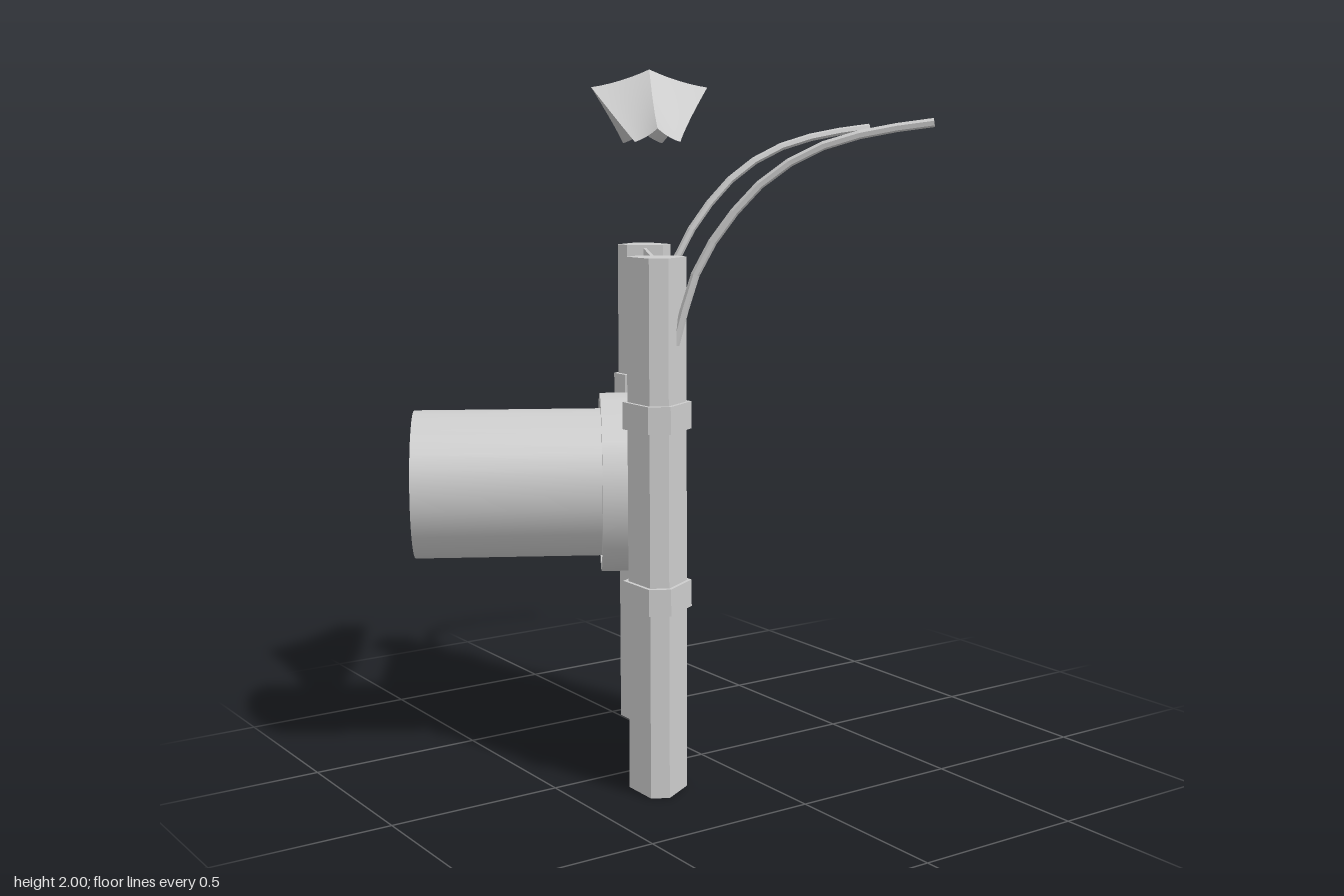
import * as THREE from 'three';

const grey = new THREE.MeshStandardMaterial({ color: 0xcccccc, side: THREE.DoubleSide });
const flat = new THREE.MeshStandardMaterial({ color: 0xcccccc, flatShading: true });
const CX = -0.09, CZ = -0.13;      // middle of the panel
const ANGLE = Math.PI / 3;         // heading of the panel
const PIPE_Y = 0.815;

function add(parent, name, geometry, material = grey) {
  const mesh = new THREE.Mesh(geometry, material);
  mesh.name = name;
  parent.add(mesh);
  return mesh;
}

// Triangular prism with cut corners, pointing to +x and standing at y0
function cutTrianglePrism(scale, y0, height) {
  const shortSide = 0.052, longSide = 0.11;
  const pts = [];
  const apothem = (2 * longSide + shortSide) / (2 * Math.sqrt(3));
  for (let i = 0; i < 3; i++) {
    for (const s of [-1, 1]) {
      pts.push(new THREE.Vector2(apothem, s * shortSide / 2)
        .multiplyScalar(scale)
        .rotateAround(new THREE.Vector2(), i * Math.PI * 2 / 3));
    }
  }
  const g = new THREE.ExtrudeGeometry(new THREE.Shape(pts), { depth: height, bevelEnabled: false });
  g.rotateX(-Math.PI / 2);
  g.translate(0, y0, 0);
  return g;
}

// Post with two clamp bands
function makePost(name, x, z, turn) {
  const post = new THREE.Group();
  post.name = name;
  add(post, 'postShaft', cutTrianglePrism(1, 0, 1.49), flat);
  for (const y of [0.52, 1.02]) add(post, 'clampBand', cutTrianglePrism(1.17, y, 0.075), flat);
  post.position.set(x, 0, z);
  post.rotation.y = turn;
  return post;
}

// Open cylinder wall along z, from z0 to z1
function wall(radius, z0, z1, sides) {
  const g = new THREE.CylinderGeometry(radius, radius, z1 - z0, sides, 1, true);
  g.rotateX(Math.PI / 2);
  g.translate(0, PIPE_Y, (z0 + z1) / 2);
  return g;
}

// Arched rod rising steeply and levelling out towards its tip
function makeRod(x0, z0, x1, z1) {
  const profile = [[0, 1.255], [0.09, 1.46], [0.23, 1.608], [0.375, 1.708], [0.55, 1.778], [0.755, 1.82], [1, 1.845]];
  const path = new THREE.CatmullRomCurve3(profile.map(([t, y]) =>
    new THREE.Vector3(x0 + (x1 - x0) * t, y, z0 + (z1 - z0) * t)));
  const rod = new THREE.Group();
  rod.name = 'archedRod';
  add(rod, 'rodShaft', new THREE.TubeGeometry(path, 10, 0.012, 6), flat);
  for (const t of [0, 1]) {
    const cap = add(rod, 'rodEnd', new THREE.CircleGeometry(0.012, 6));
    const p = path.getPointAt(t);
    cap.position.copy(p);
    cap.lookAt(p.clone().addScaledVector(path.getTangentAt(t), t ? 1 : -1));
  }
  return rod;
}

// One quarter of the sagging canopy; su and sn mirror it along and across the ridge
function canopyQuarter(su, sn) {
  const g = new THREE.PlaneGeometry(1, 1, 10, 6);
  const p = g.attributes.position;
  for (let i = 0; i < p.count; i++) {
    const s = p.getX(i) + 0.5, v = p.getY(i) + 0.5;
    const halfWidth = 0.165 - 0.15 * s + 0.045 * s * s;
    const ridge = 2 - 0.23 * s + 0.06 * s * s;
    const drop = (0.05 - 0.015 * s) * (1.5 * v - 0.5 * v * v);
    p.setXYZ(i, su * 0.4 * s, ridge - drop, sn * halfWidth * v);
  }
  g.computeVertexNormals();
  return g;
}

export function createModel() {
  const model = new THREE.Group();
  model.name = 'pipeGate';

  // Frame aligned with the panel: x along it, z out of its face
  const frame = new THREE.Group();
  frame.name = 'panelFrame';
  frame.position.set(CX, 0, CZ);
  frame.rotation.y = ANGLE;
  model.add(frame);

  // Thin panel with a round opening
  const panel = new THREE.Shape();
  panel.moveTo(-0.33, 0.01).lineTo(0.33, 0.01).lineTo(0.33, 1.48).lineTo(-0.33, 1.48).closePath();
  panel.holes.push(new THREE.Path().absarc(0, PIPE_Y, 0.25, 0, Math.PI * 2, true));
  const panelGeo = new THREE.ExtrudeGeometry(panel, { depth: 0.01, bevelEnabled: false, curveSegments: 20 });
  panelGeo.translate(0, 0, -0.005);
  add(frame, 'panel', panelGeo);

  // Collar around the opening
  const collar = new THREE.Group();
  collar.name = 'collar';
  frame.add(collar);
  const back = -0.148, front = 0.07, outer = 0.262, inner = 0.238;
  add(collar, 'collarOuterWall', wall(outer, back, front, 20));
  add(collar, 'collarInnerWall', wall(inner, back, front, 20));
  for (const z of [back, front]) {
    const rim = new THREE.RingGeometry(inner, outer, 20);
    rim.rotateZ(Math.PI / 2);
    rim.translate(0, PIPE_Y, z);
    add(collar, 'collarRim', rim);
  }

  // Open pipe running out behind the panel
  add(frame, 'pipe', wall(0.215, -0.685, 0, 32));

  // Canopy floating above
  const canopy = new THREE.Group();
  canopy.name = 'canopy';
  frame.add(canopy);
  for (const su of [-1, 1]) for (const sn of [-1, 1]) add(canopy, 'canopyQuarter', canopyQuarter(su, sn));

  // Posts at both ends of the panel, turned half a circle to each other
  const dx = 0.345 * Math.cos(ANGLE), dz = 0.345 * Math.sin(ANGLE);
  model.add(makePost('rightPost', CX - dx, CZ + dz, 0));
  model.add(makePost('leftPost', CX + dx, CZ - dz, Math.PI));

  // Arched rods reaching forward from the posts
  model.add(makeRod(-0.235, 0.215, 0.29, 0.65));
  model.add(makeRod(0.145, -0.435, 0.785, -0.205));

  return model;
}
